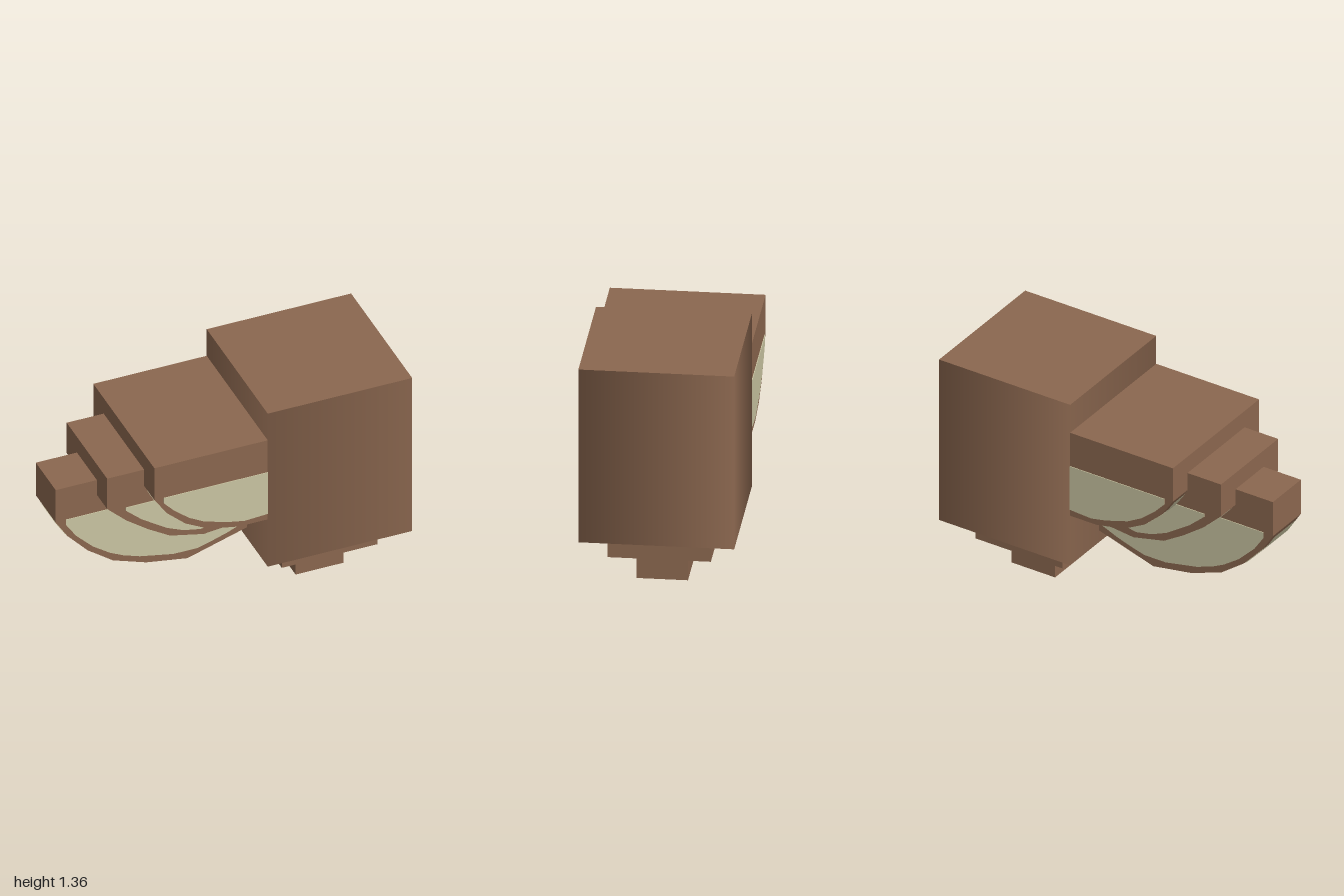
import * as THREE from 'three';

const brown = new THREE.MeshStandardMaterial({ color: 0x8b674f });
brown.name = 'brown';
const cream = new THREE.MeshStandardMaterial({ color: 0xcac5a2, side: THREE.DoubleSide });
cream.name = 'cream';

const END = 0.14; // plane where the slabs meet the body

function add(group, name, geometry, material) {
  const mesh = new THREE.Mesh(geometry, material);
  mesh.name = name;
  group.add(mesh);
  return mesh;
}

function plate(points, halfDepth) {
  const shape = new THREE.Shape(points.map(([x, y]) => new THREE.Vector2(x, y)));
  const geometry = new THREE.ExtrudeGeometry(shape, { depth: halfDepth * 2, bevelEnabled: false });
  return geometry.translate(0, 0, -halfDepth);
}

// Open strip that follows the underside curve, lifted slightly off the slab
function undersideStrip(curve, halfWidth) {
  const pos = [], index = [];
  curve.forEach(([x, y], i) => {
    const a = curve[Math.max(i - 1, 0)], b = curve[Math.min(i + 1, curve.length - 1)];
    const dx = b[0] - a[0], dy = b[1] - a[1], len = Math.hypot(dx, dy);
    const px = x + (dy / len) * 0.005, py = y - (dx / len) * 0.005;
    pos.push(px, py, halfWidth, px, py, -halfWidth);
    if (i > 0) {
      const k = 2 * i - 2;
      index.push(k, k + 1, k + 2, k + 1, k + 3, k + 2);
    }
  });
  const geometry = new THREE.BufferGeometry();
  geometry.setAttribute('position', new THREE.Float32BufferAttribute(pos, 3));
  geometry.setIndex(index);
  const flat = geometry.toNonIndexed();
  flat.computeVertexNormals();
  return flat;
}

// top: slab height, curve: underside left to right, panel: pale side area
const slabs = [
  {
    name: 'outerSlab', half: 0.14, top: 0.97,
    curve: [[-1, 0.75], [-0.93, 0.64], [-0.81, 0.51], [-0.66, 0.4], [-0.46, 0.33], [-0.215, 0.29], [END, 0.4]],
    panel: [[-0.94, 0.755], [-0.94, 0.72], [-0.88, 0.63], [-0.78, 0.53], [-0.68, 0.46], [-0.6, 0.42], [-0.5, 0.385],
      [-0.3, 0.345], [-0.16, 0.345], [-0.08, 0.367], [0.02, 0.4], [0.115, 0.44], [0.115, 0.755]],
  },
  {
    name: 'middleSlab', half: 0.285, top: 1.075,
    curve: [[-0.755, 0.87], [-0.64, 0.76], [-0.51, 0.665], [-0.38, 0.585], [-0.18, 0.54], [END, 0.575]],
    panel: [[-0.645, 0.85], [-0.645, 0.83], [-0.55, 0.745], [-0.4, 0.645], [-0.3, 0.602], [-0.2, 0.582],
      [-0.08, 0.605], [END, 0.615], [END, 0.85]],
  },
  {
    name: 'innerSlab', half: 0.43, top: 1.18,
    curve: [[-0.535, 0.965], [-0.46, 0.855], [-0.35, 0.755], [-0.21, 0.68], [-0.03, 0.645], [END, 0.645]],
    panel: [[-0.48, 0.965], [-0.48, 0.93], [-0.42, 0.865], [-0.33, 0.79], [-0.24, 0.74], [-0.1, 0.697],
      [0, 0.677], [END, 0.685], [END, 0.965]],
  },
];

export function createModel() {
  const model = new THREE.Group();
  model.name = 'model';

  // Tall square body, with side normals shared around the corners
  const body = new THREE.CylinderGeometry(0.43 * Math.SQRT2, 0.43 * Math.SQRT2, 1.035, 4, 1, false, Math.PI / 4);
  add(model, 'body', body, brown).position.set(0.57, 0.8425, 0);

  // Stepped foot
  add(model, 'upperStep', new THREE.BoxGeometry(0.57, 0.145, 0.57), brown).position.set(0.57, 0.2525, 0);
  add(model, 'lowerStep', new THREE.BoxGeometry(0.285, 0.18, 0.285), brown).position.set(0.57, 0.09, 0);

  // Nested slabs with pale sides and undersides
  for (const { name, half, top, curve, panel } of slabs) {
    const group = new THREE.Group();
    group.name = name;
    add(group, 'slab', plate([[curve[0][0], top], ...curve, [END, top]], half), brown);
    for (const side of [1, -1]) {
      add(group, 'sidePanel', plate(panel, 0.003), cream).position.z = side * (half + 0.001);
    }
    // Inset the strip a little from its upper end
    const [a, b] = curve;
    const start = [a[0] + (b[0] - a[0]) * 0.2, a[1] + (b[1] - a[1]) * 0.2];
    add(group, 'undersidePanel', undersideStrip([start, ...curve.slice(1)], half - 0.03), cream);
    model.add(group);
  }
  return model;
}
